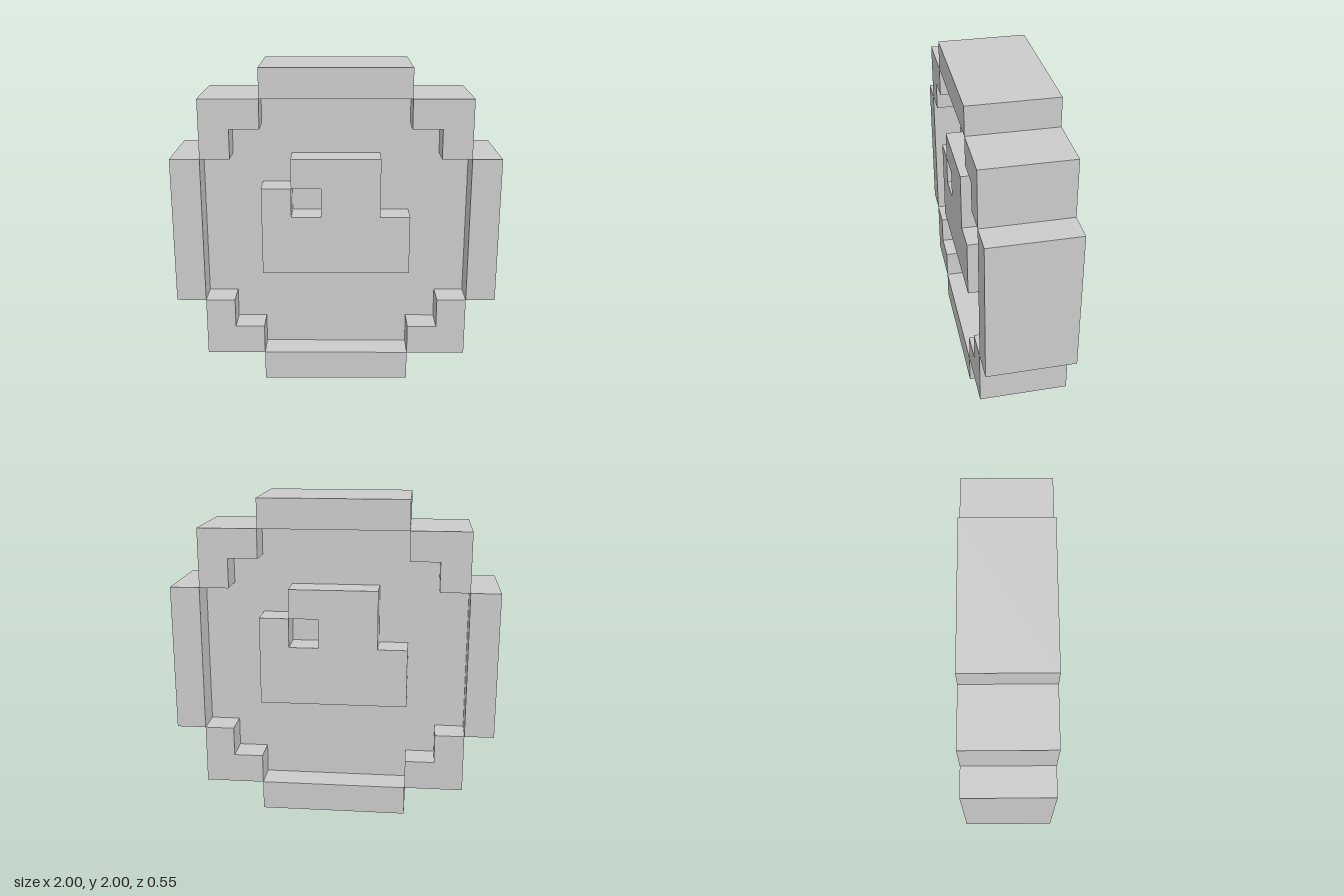
import * as THREE from 'three';

const U = 2 / 11; // one block
const material = new THREE.MeshStandardMaterial({ color: 0xcccccc, flatShading: true });

// Extrudes an outline given in blocks around the coin's centre, from z0 to z1
function slab(name, points, z0, z1) {
  const shape = new THREE.Shape(points.map(([x, y]) => new THREE.Vector2(x * U, y * U)));
  const geometry = new THREE.ExtrudeGeometry(shape, { depth: (z1 - z0) * U, bevelEnabled: false });
  geometry.translate(0, 0, z0 * U);
  const mesh = new THREE.Mesh(geometry, material);
  mesh.name = name;
  return mesh;
}

function bar(name, x, y, w, h) {
  const mesh = new THREE.Mesh(new THREE.BoxGeometry(w * U, h * U, 3 * U), material);
  mesh.name = name;
  mesh.position.set(x * U, y * U, 0);
  return mesh;
}

export function createModel() {
  const coin = new THREE.Group();
  coin.name = 'coin';
  coin.position.y = 1;

  // Raised rim: four straight bars and four L-shaped corners
  const rim = new THREE.Group();
  rim.name = 'rim';
  rim.add(
    bar('rimTop', 0, 5, 5, 1),
    bar('rimBottom', 0, -5, 5, 1),
    bar('rimLeft', 5, 0, 1, 5),
    bar('rimRight', -5, 0, 1, 5)
  );
  const corner = [[2.5, 4.5], [2.5, 3.5], [3.5, 3.5], [3.5, 2.5], [4.5, 2.5], [4.5, 4.5]];
  for (const sx of [1, -1]) {
    for (const sy of [1, -1]) {
      const name = `rimCorner${sy > 0 ? 'Top' : 'Bottom'}${sx > 0 ? 'Left' : 'Right'}`;
      rim.add(slab(name, corner.map(([x, y]) => [x * sx, y * sy]), -1.5, 1.5));
    }
  }
  coin.add(rim);

  // Recessed middle plate: a stepped quarter mirrored around the centre
  const quarter = [[4.5, 2.5], [3.5, 2.5], [3.5, 3.5], [2.5, 3.5], [2.5, 4.5]];
  const flip = (sx, sy) => quarter.map(([x, y]) => [x * sx, y * sy]);
  const outline = [
    ...flip(1, 1), ...flip(-1, 1).reverse(), ...flip(-1, -1), ...flip(1, -1).reverse()
  ];
  coin.add(slab('plate', outline, -0.5, 0.5));

  // Emblem with a square eye that meets the outline at one corner, on both faces
  const emblem = [
    [-2.5, -1.5], [-2.5, 1.5], [-1.5, 1.5], [-1.5, 0.5], [-0.5, 0.5], [-0.5, 1.5],
    [-1.5, 1.5], [-1.5, 2.5], [1.5, 2.5], [1.5, 0.5], [2.5, 0.5], [2.5, -1.5]
  ];
  const front = slab('emblemFront', emblem, 0.5, 1.5);
  const back = slab('emblemBack', emblem, 0.5, 1.5);
  back.rotation.y = Math.PI;
  coin.add(front, back);

  const model = new THREE.Group();
  model.name = 'blockCoin';
  model.add(coin);
  return model;
}
